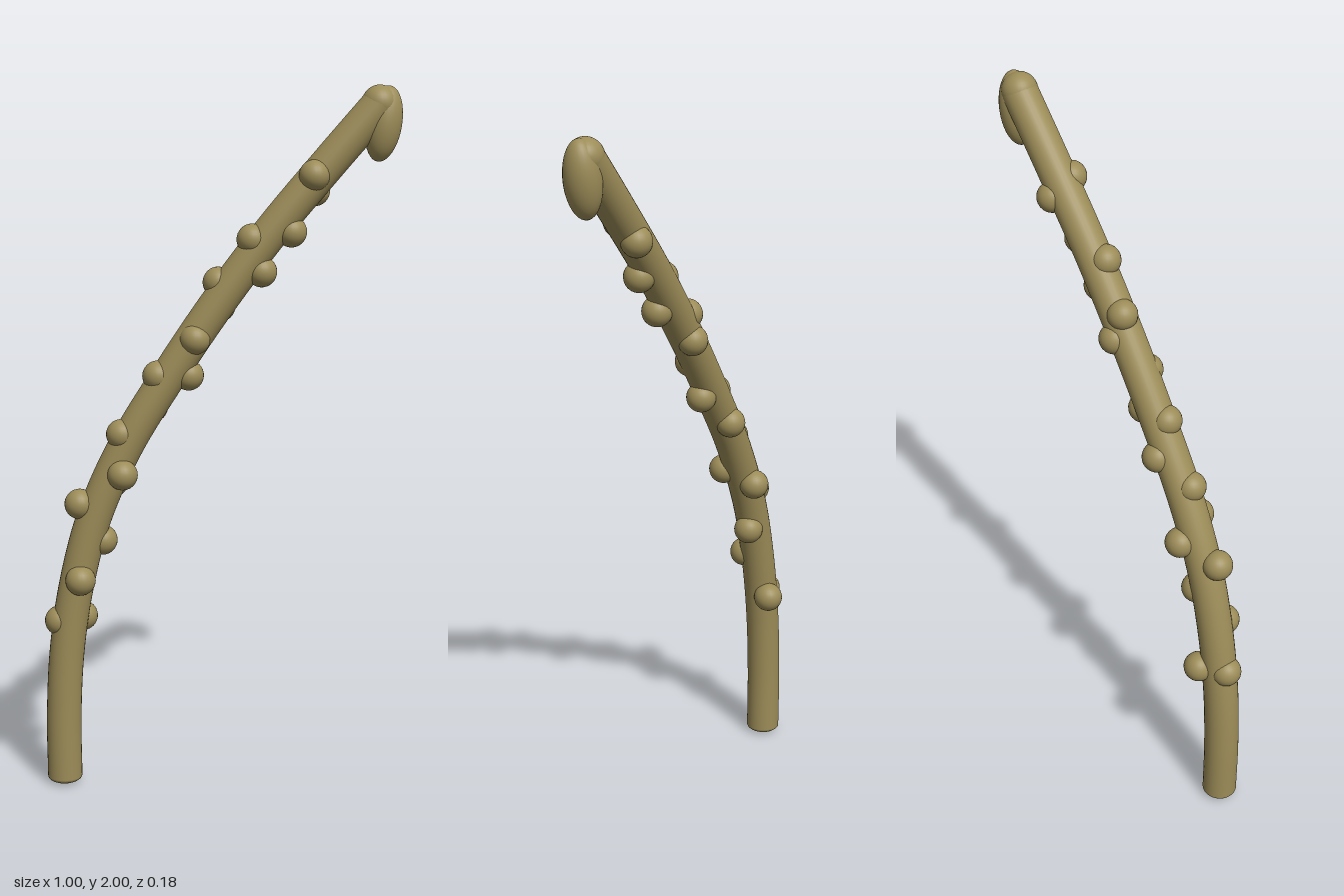
import * as THREE from 'three';

export function createModel() {
  const model = new THREE.Group();
  const olive = new THREE.MeshStandardMaterial({ color: 0x9c8c58 });
  olive.name = 'olive tan';

  const add = (name, geometry, x = 0, y = 0, z = 0) => {
    const mesh = new THREE.Mesh(geometry, olive);
    mesh.name = name;
    mesh.position.set(x, y, z);
    model.add(mesh);
    return mesh;
  };

  // Curved stalk, upright at the base and leaning over to the left
  const path = new THREE.CatmullRomCurve3([
    [-0.455, 0.02], [-0.455, 0.2], [-0.443, 0.4], [-0.412, 0.6], [-0.358, 0.8],
    [-0.268, 1.0], [-0.145, 1.2], [-0.01, 1.4], [0.14, 1.6], [0.3, 1.79], [0.435, 1.945],
  ].map(([x, y]) => new THREE.Vector3(x, y, 0)));
  add('stalk', new THREE.TubeGeometry(path, 80, 0.05, 28, false));

  // Rounded ends of the stalk
  const ball = new THREE.SphereGeometry(0.05, 28, 20);
  add('stalkFoot', ball, -0.455, 0.02, 0).scale.y = 0.4;
  add('stalkTop', ball, 0.435, 1.948, 0);

  // Drooping oval tip
  const tip = add('tip', ball, 0.447, 1.893, 0);
  tip.scale.set(1, 2.08, 1);
  tip.rotation.z = -0.15;

  // Round nodules winding up the stalk: x, y, z
  const nodules = [
    [-0.462, 0.49, 0], [-0.397, 0.49, -0.047], [-0.4, 0.62, 0.043],
    [-0.337, 0.725, -0.01], [-0.4, 0.835, 0.008], [-0.305, 0.885, -0.047],
    [-0.278, 0.925, 0.043], [-0.28, 1.035, 0.01], [-0.19, 1.105, -0.035],
    [-0.09, 1.2, 0], [-0.177, 1.2, 0.008], [-0.073, 1.305, 0.027],
    [0, 1.39, -0.03], [-0.007, 1.46, -0.008], [0.113, 1.49, 0.01],
    [0.086, 1.58, 0.01], [0.195, 1.6, 0.01], [0.262, 1.71, -0.03],
    [0.255, 1.755, 0.03],
  ];
  const nodule = new THREE.SphereGeometry(0.043, 24, 16);
  nodules.forEach(([x, y, z], i) => add(`nodule${i + 1}`, nodule, x, y, z));

  return model;
}
